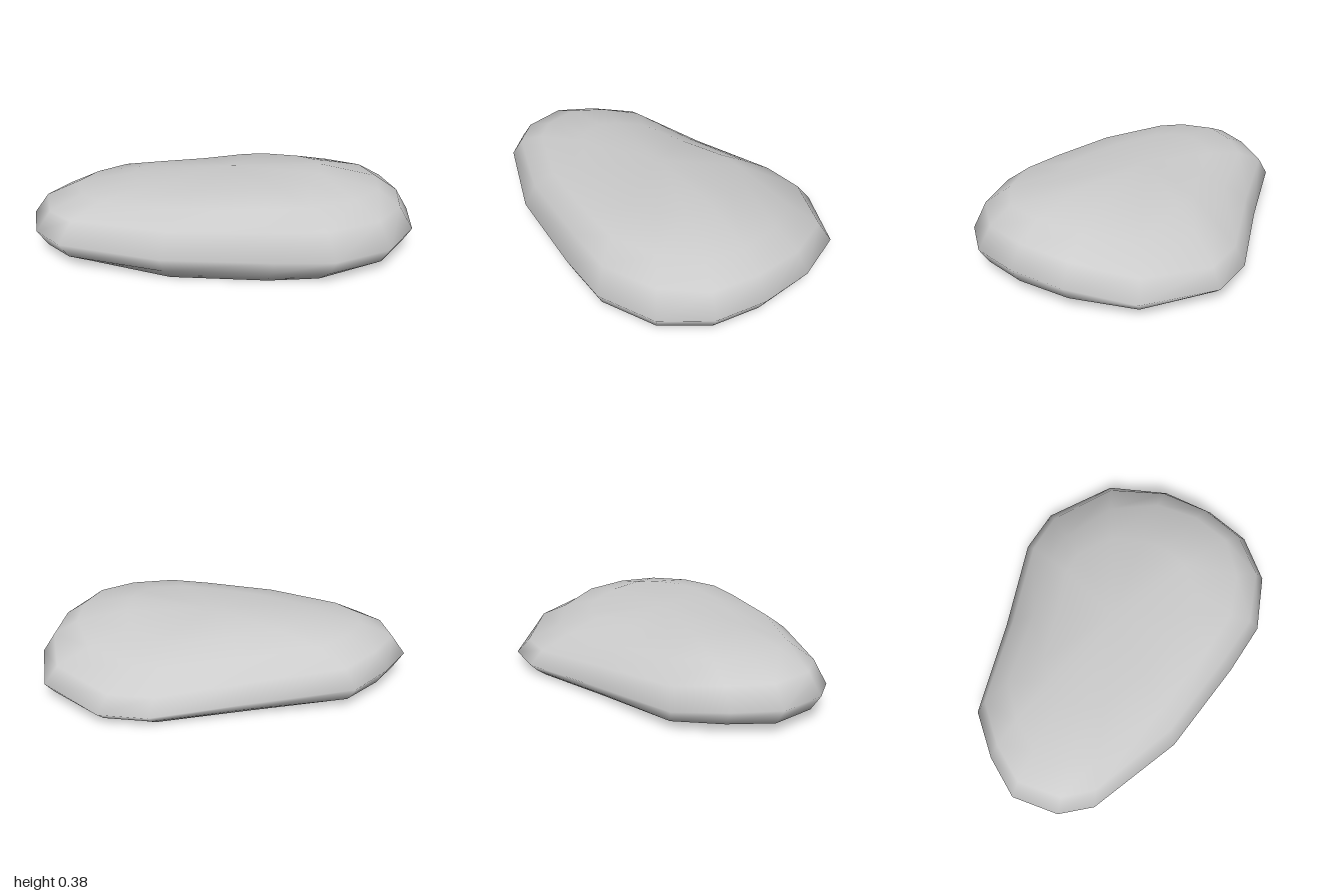
import * as THREE from 'three';

// Columns around the stone: rim x, rim z, rim y, shoulder y, top edge y, inner top y, top edge scale
const COLUMNS = [
  [-1.0, 0.17, 0.14, 0.24, 0.31, 0.345, 0.77],
  [-0.93, 0.41, 0.14, 0.24, 0.31, 0.345, 0.77],
  [-0.79, 0.54, 0.13, 0.24, 0.31, 0.345, 0.77],
  [-0.28, 0.69, 0.13, 0.25, 0.32, 0.35, 0.77],
  [0.25, 0.71, 0.13, 0.26, 0.33, 0.36, 0.77],
  [0.54, 0.70, 0.13, 0.26, 0.335, 0.365, 0.77],
  [0.82, 0.56, 0.13, 0.26, 0.335, 0.37, 0.78],
  [0.97, 0.34, 0.14, 0.25, 0.33, 0.38, 0.81],
  [1.0, 0.08, 0.14, 0.25, 0.325, 0.385, 0.81],
  [0.96, -0.21, 0.13, 0.23, 0.305, 0.36, 0.79],
  [0.81, -0.52, 0.09, 0.18, 0.26, 0.325, 0.74],
  [0.45, -0.71, 0.06, 0.14, 0.23, 0.305, 0.7],
  [0.2, -0.69, 0.06, 0.14, 0.23, 0.305, 0.7],
  [-0.27, -0.47, 0.08, 0.17, 0.25, 0.315, 0.72],
  [-0.76, -0.27, 0.11, 0.21, 0.285, 0.33, 0.75],
  [-0.91, -0.05, 0.13, 0.23, 0.3, 0.34, 0.77],
];
const CENTRE = { x: 0.05, z: 0.04 };

function stoneGeometry() {
  const positions = [];
  const index = [];
  const n = COLUMNS.length;

  // Rings from the flat base, over the rim, to the crown
  for (let ring = 0; ring < 6; ring++) {
    for (const [x, z, rimY, shoulderY, edgeY, innerY, edgeScale] of COLUMNS) {
      const dx = x - CENTRE.x;
      const dz = z - CENTRE.z;
      const side = (dx * dx) / (dx * dx + dz * dz);
      const scale = [0.9 - 0.09 * side, 0.95, 1, 0.91 + 0.02 * side, edgeScale, 0.5][ring];
      const y = [0, rimY * 0.42, rimY, shoulderY, edgeY, innerY][ring];
      positions.push(CENTRE.x + dx * scale, y, CENTRE.z + dz * scale);
    }
  }
  const bottom = positions.length / 3;
  positions.push(CENTRE.x, 0, CENTRE.z);
  const top = bottom + 1;
  positions.push(CENTRE.x, 0.366, CENTRE.z);

  for (let i = 0; i < n; i++) {
    const j = (i + 1) % n;
    for (let ring = 0; ring < 5; ring++) {
      const a = ring * n;
      const b = a + n;
      index.push(a + i, a + j, b + j, a + i, b + j, b + i);
    }
    index.push(bottom, j, i);
    index.push(top, 5 * n + i, 5 * n + j);
  }

  const geometry = new THREE.BufferGeometry();
  geometry.setAttribute('position', new THREE.Float32BufferAttribute(positions, 3));
  geometry.setIndex(index);
  geometry.computeVertexNormals();
  return geometry;
}

export function createModel() {
  const group = new THREE.Group();
  group.name = 'flatStone';
  const stone = new THREE.Mesh(stoneGeometry(), new THREE.MeshStandardMaterial({ color: 0xcccccc }));
  stone.name = 'stone';
  group.add(stone);
  return group;
}
